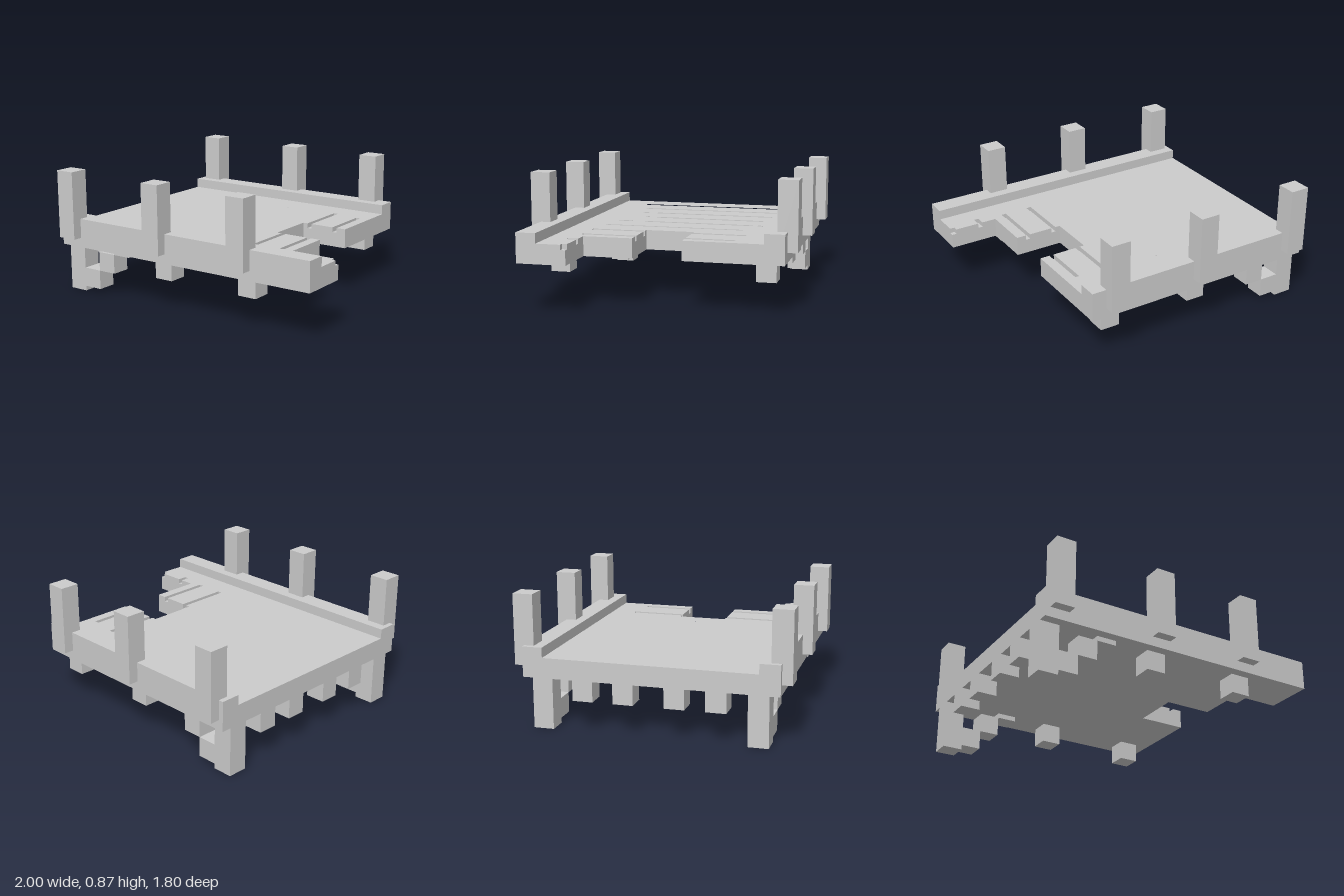
import * as THREE from 'three';

const U = 1 / 30; // every dimension sits on a 1/30 grid
const material = new THREE.MeshStandardMaterial({ color: 0xcccccc, flatShading: true });

export function createModel() {
  const model = new THREE.Group();

  const add = (name, geometry) => {
    const mesh = new THREE.Mesh(geometry, material);
    mesh.name = name;
    model.add(mesh);
    return mesh;
  };

  // Box given by its min/max grid coordinates
  const box = (name, [x0, x1], [y0, y1], [z0, z1]) =>
    add(name, new THREE.BoxGeometry((x1 - x0) * U, (y1 - y0) * U, (z1 - z0) * U))
      .position.set((x0 + x1) * U / 2, (y0 + y1) * U / 2, (z0 + z1) * U / 2);

  // The same box on the front and back sides
  const pair = (name, x, y, [z0, z1]) => {
    box(name + 'Front', x, y, [z0, z1]);
    box(name + 'Back', x, y, [-z1, -z0]);
  };

  // Horizontal slab from an outline of [x, z] grid points
  const toPoints = (list) => list.map(([x, z]) => new THREE.Vector2(x * U, -z * U));
  const slab = (name, outline, holes, y0, y1) => {
    const shape = new THREE.Shape(toPoints(outline));
    shape.holes = holes.map((h) => new THREE.Path(toPoints(h)));
    const geometry = new THREE.ExtrudeGeometry(shape, { depth: (y1 - y0) * U, bevelEnabled: false });
    geometry.rotateX(-Math.PI / 2);
    geometry.translate(0, y0 * U, 0);
    add(name, geometry);
  };

  // Broken deck: solid lower layer
  slab('deckBase', [
    [-30, -25], [20, -25], [20, -5], [10, -5], [10, 5], [20, 5],
    [20, 15], [30, 15], [30, 25], [-30, 25],
  ], [], 10, 13);

  // Deck surface: plank gaps are closed slots, or notches where they reach the broken edge
  const notch = (x0, x1, edge, end) => [[x0, edge], [x0, end], [x1, end], [x1, edge]];
  const slots = [
    [-25, -17, 15], [-19, -17, 14], [-13, -17, 9], [-13, 11, 14], [-7, -16, 10],
    [-7, 13, 16], [-1, -18, -16], [-1, -15, 17], [5, -14, 17],
  ].map(([x, z0, z1]) => [[x, z0], [x + 1, z0], [x + 1, z1], [x, z1]]);
  slab('deckSurface', [
    [-30, -25], [20, -25], [20, -5],
    ...notch(18, 17, -5, -15), ...notch(12, 11, -5, -16),
    [10, -5], [10, 5],
    ...notch(11, 12, 5, 16), ...notch(17, 18, 5, 16),
    [20, 5], [20, 15], ...notch(23, 24, 15, 17),
    [29, 15], [29, 16], [30, 16], [30, 25], [-30, 25],
  ], slots, 13, 14);

  // Raised side beams
  box('sideBeamFront', [-30, 30], [14, 16], [21, 25]);
  box('sideBeamBack', [-30, 20], [14, 16], [-25, -21]);

  // Railing posts
  for (const x of [-29, -7, 13]) pair('post', [x, x + 4], [12, 26], [23, 27]);

  // Legs with stepped braces rising to the deck
  pair('leg', [-30, -26], [0, 10], [19, 23]);
  pair('lowerBrace', [-26, -22], [1, 5], [19, 23]);
  pair('middleBrace', [-22, -18], [5, 9], [19, 23]);
  pair('upperBrace', [-18, -14], [9, 10], [19, 23]);

  // Joist ends below the deck
  for (const x of [-7, 13]) pair('sideJoist', [x, x + 4], [6, 10], [19, 23]);
  for (const z of [3, 11]) pair('endJoist', [-30, -26], [6, 10], [z, z + 4]);

  return model;
}
